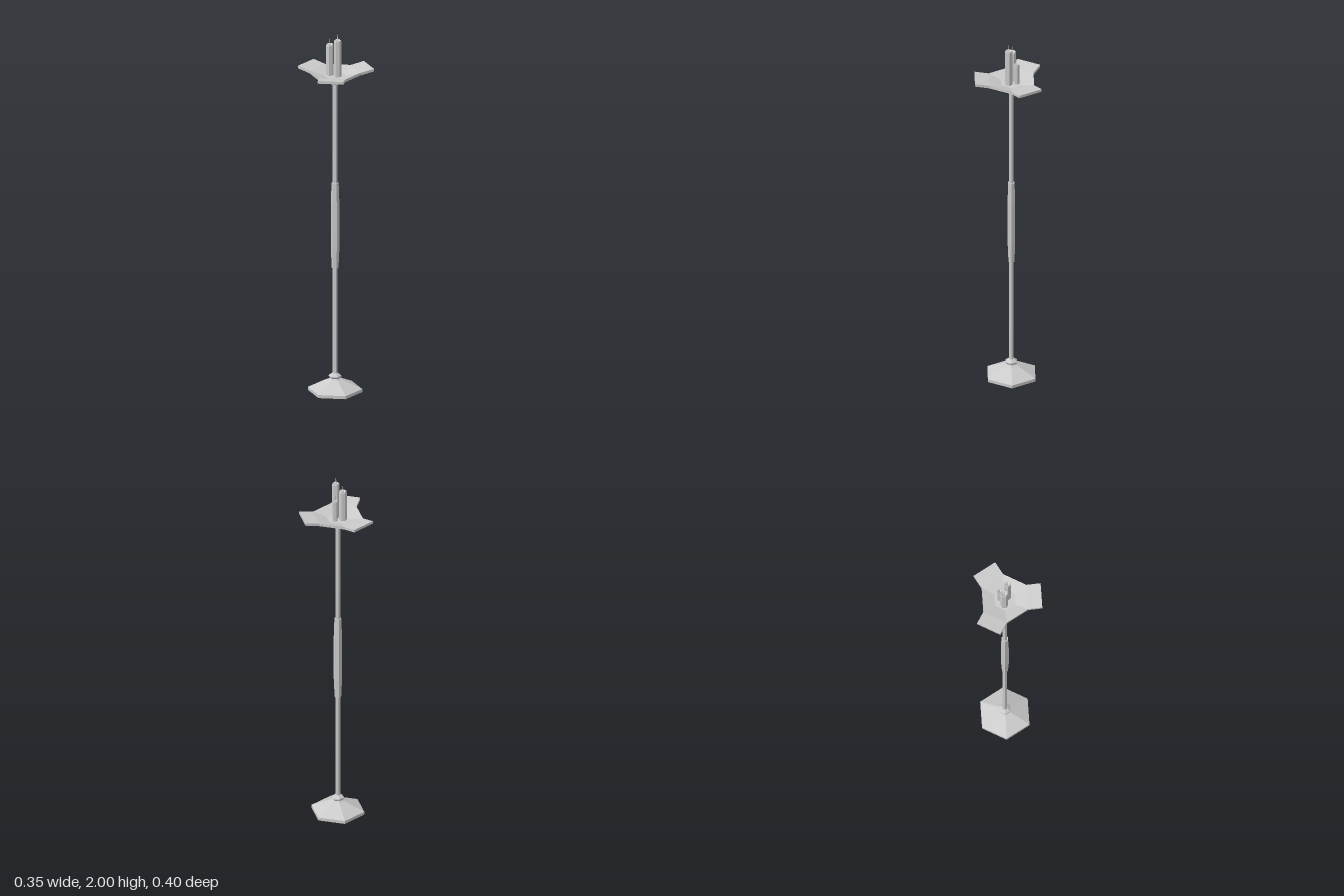
import * as THREE from 'three';

const SIDES = 6;
const material = new THREE.MeshStandardMaterial({ color: 0xcccccc, flatShading: true });

// Six-sided turned part from [radius, height] pairs, listed bottom to top
function turned(name, profile) {
  const points = profile.map(([r, y]) => new THREE.Vector2(r, y));
  const mesh = new THREE.Mesh(new THREE.LatheGeometry(points, SIDES), material);
  mesh.name = name;
  return mesh;
}

// Hexagonal candle with a hollow melted top and a thin wick
function candle(x, z, radius, top, turn) {
  const group = new THREE.Group();
  group.name = 'candle';
  const floor = 1.768;
  const wax = turned('wax', [
    [0, floor], [radius, floor], [radius, top - 0.008], [radius * 0.88, top], [0, top - 0.01],
  ]);
  const wick = new THREE.Mesh(new THREE.CylinderGeometry(0.002, 0.003, 0.04, 4), material);
  wick.name = 'wick';
  wick.position.y = top + 0.01;
  group.add(wax, wick);
  group.position.set(x, 0, z);
  group.rotation.y = turn;
  return group;
}

export function createModel() {
  const model = new THREE.Group();
  model.name = 'candleStand';

  // Everything turned shares one axis, slightly left of centre
  const stand = new THREE.Group();
  stand.name = 'stand';
  stand.position.x = -0.021;
  model.add(stand);

  stand.add(turned('base', [
    [0, 0], [0.145, 0], [0.145, 0.017], [0.034, 0.068], [0.027, 0.074],
    [0.034, 0.082], [0.034, 0.088], [0.016, 0.102], [0, 0.102],
  ]));
  stand.add(turned('pole', [[0.0135, 0.09], [0.0135, 1.73]]));
  stand.add(turned('grip', [
    [0, 0.69], [0.018, 0.69], [0.023, 0.8], [0.023, 1.05], [0.019, 1.165], [0, 1.165],
  ]));
  stand.add(turned('collar', [[0, 1.72], [0.026, 1.72], [0.038, 1.746], [0.038, 1.753], [0, 1.753]]));

  // Shallow dish, open bowl on top
  const rim = 0.137;
  stand.add(turned('dish', [
    [0, 1.75], [0.04, 1.75], [rim, 1.773], [rim, 1.788], [0.062, 1.768], [0, 1.768],
  ]));

  // Three flared wings on alternate sides of the dish
  const inner = rim * Math.cos(Math.PI / SIDES);
  const outer = 0.194;
  const section = new THREE.Shape([
    new THREE.Vector2(inner, 1.773), new THREE.Vector2(outer, 1.785),
    new THREE.Vector2(outer, 1.8), new THREE.Vector2(inner, 1.788),
  ]);
  const wingGeometry = new THREE.ExtrudeGeometry(section, { depth: rim, bevelEnabled: false });
  wingGeometry.translate(0, 0, -rim / 2);
  for (let i = 0; i < 3; i++) {
    const wing = new THREE.Mesh(wingGeometry, material);
    wing.name = 'dishWing';
    wing.rotation.y = (i * Math.PI * 2) / 3;
    stand.add(wing);
  }

  // Candles of three heights
  model.add(
    candle(-0.043, -0.019, 0.021, 1.94, 0.4),
    candle(-0.015, 0.02, 0.02, 1.97, 0.15),
    candle(0, -0.02, 0.0145, 1.885, 0.3),
  );
  return model;
}
